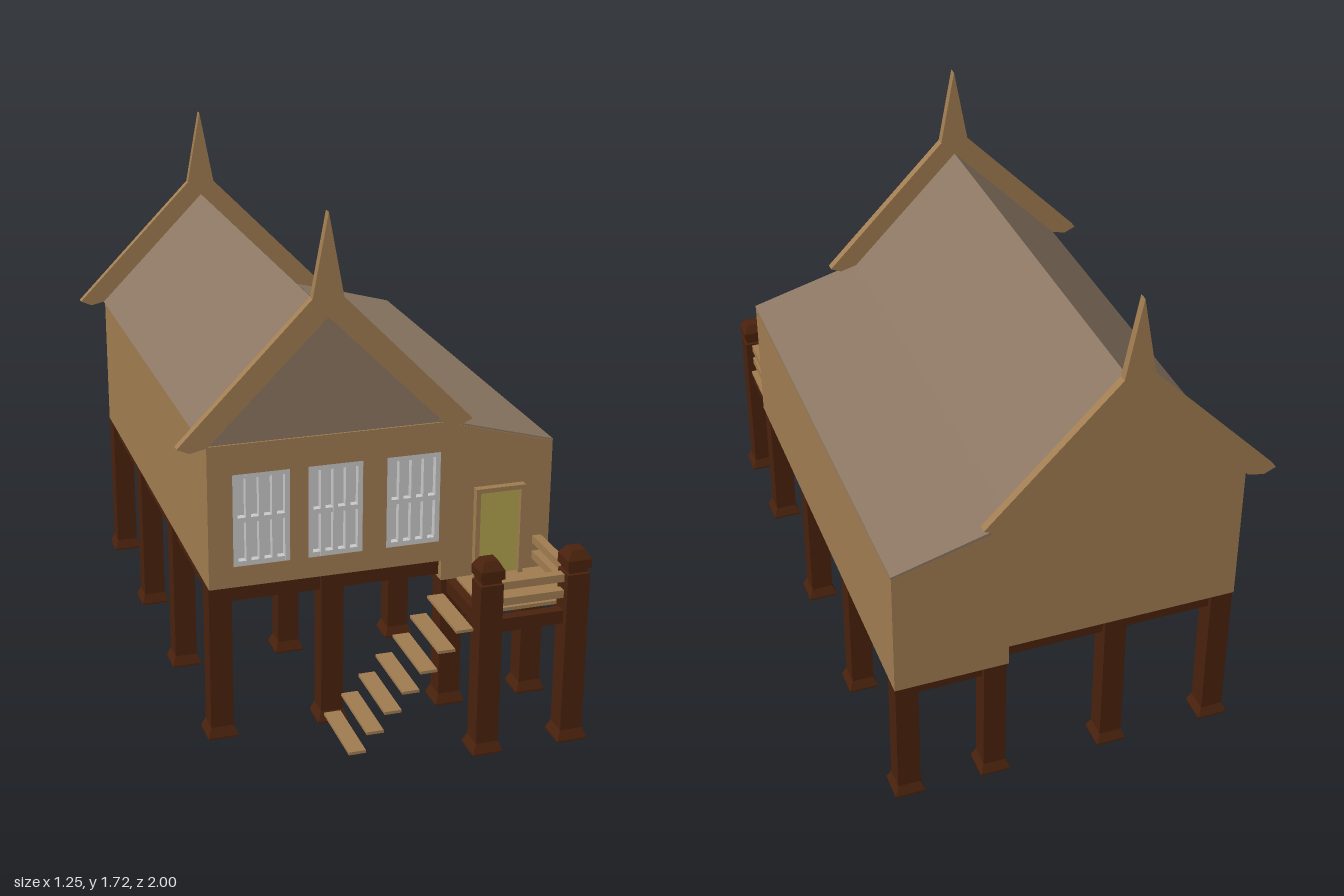
import * as THREE from 'three';

const mat = (name, color) => {
  const m = new THREE.MeshStandardMaterial({ color });
  m.name = name;
  return m;
};

export function createModel() {
  const wood = mat('tan wood', 0xa17d51);
  const roofing = mat('roof shingle', 0x8c7763);
  const timber = mat('dark timber', 0x4a220d);
  const shutter = mat('pale window', 0xc9c9c9);
  const doorPaint = mat('door yellow', 0xb3a24e);

  const model = new THREE.Group();
  const add = (parent, name, geometry, material) => {
    const mesh = new THREE.Mesh(geometry, material);
    mesh.name = name;
    parent.add(mesh);
    return mesh;
  };
  const group = (name) => {
    const g = new THREE.Group();
    g.name = name;
    model.add(g);
    return g;
  };
  // Box given by its limits on each axis
  const box = (parent, name, material, x0, x1, y0, y1, z0, z1) => {
    const g = new THREE.BoxGeometry(x1 - x0, y1 - y0, z1 - z0);
    g.translate((x0 + x1) / 2, (y0 + y1) / 2, (z0 + z1) / 2);
    return add(parent, name, g, material);
  };
  // Outline in x,y extruded from z0 to z1
  const slab = (parent, name, material, points, z0, z1, holes = []) => {
    const shape = new THREE.Shape(points.map(([x, y]) => new THREE.Vector2(x, y)));
    for (const [x0, x1, y0, y1] of holes) {
      shape.holes.push(new THREE.Path([
        new THREE.Vector2(x0, y0), new THREE.Vector2(x0, y1),
        new THREE.Vector2(x1, y1), new THREE.Vector2(x1, y0),
      ]));
    }
    const g = new THREE.ExtrudeGeometry(shape, { depth: z1 - z0, bevelEnabled: false });
    g.translate(0, 0, z0);
    return add(parent, name, g, material);
  };
  // Square post from a [half width, height] profile
  const post = (parent, name, profile, x, z) => {
    const pts = profile.map(([h, y]) => new THREE.Vector2(h * Math.SQRT2, y));
    const g = new THREE.LatheGeometry(pts, 4, Math.PI / 4).toNonIndexed();
    g.computeVertexNormals();
    add(parent, name, g, timber).position.set(x, 0, z);
  };

  const FRONT = 0.655, BACK = -0.985, RIDGE = -0.15;
  const windows = [[-0.455, -0.27], [-0.21, -0.03], [0.05, 0.23]].map(([a, b]) => [a, b, 0.6, 0.91]);

  // Walls: tall main room with a lower side room on +x
  const walls = group('walls');
  const lower = [[-0.535, 0.53], [0.24, 0.53], [0.24, 0.46], [0.615, 0.46], [0.615, 0.907], [0.24, 1.01]];
  slab(walls, 'frontWall', wood, [...lower, [-0.535, 1.01]], FRONT - 0.03, FRONT, windows);
  slab(walls, 'backWall', wood, [...lower, [RIDGE, 1.4], [-0.535, 1.01]], BACK, BACK + 0.03);
  box(walls, 'mainSideWall', wood, -0.535, -0.505, 0.53, 1.01, BACK + 0.03, FRONT - 0.03);
  box(walls, 'sideRoomWall', wood, 0.585, 0.615, 0.46, 0.907, BACK + 0.03, FRONT - 0.03);
  box(walls, 'mainFloor', wood, -0.505, 0.24, 0.53, 0.55, BACK + 0.03, FRONT - 0.03);
  box(walls, 'sideRoomFloor', wood, 0.24, 0.585, 0.46, 0.55, BACK + 0.03, FRONT - 0.03);

  // Roofs and the shingled front gable
  const roof = group('roof');
  slab(roof, 'mainRoof', roofing, [
    [-0.542, 1.01], [-0.51, 1.005], [RIDGE, 1.37], [0.21, 1.005], [0.242, 1.01], [RIDGE, 1.406],
  ], BACK + 0.004, 0.648);
  slab(roof, 'frontGable', roofing, [[-0.53, 1.01], [0.23, 1.01], [RIDGE, 1.395]], 0.62, 0.649);
  slab(roof, 'sideRoof', roofing, [
    [0.225, 1.008], [0.617, 0.905], [0.617, 0.912], [0.225, 1.02],
  ], BACK - 0.001, FRONT - 0.003);

  // Barge boards with a pointed finial
  const half = [[0.05, 1.455], [0.48, 1.018], [0.44, 1.0], [0.385, 1.012]];
  const barge = [
    [RIDGE, 1.72],
    ...half.map(([x, y]) => [RIDGE - x, y]),
    [RIDGE, 1.395],
    ...half.map(([x, y]) => [RIDGE + x, y]).reverse(),
  ];
  slab(roof, 'frontBargeBoard', wood, barge, 0.637, 0.667);
  slab(roof, 'backBargeBoard', wood, barge, -1.0, -0.972);

  // Barred windows set into the front wall
  const windowGroup = group('windows');
  for (const [x0, x1, y0, y1] of windows) {
    const w = x1 - x0, h = y1 - y0;
    box(windowGroup, 'windowPane', shutter, x0, x1, y0, y1, 0.622, 0.63);
    for (let i = 0; i <= 4; i++) {
      const x = x0 + 0.008 + (i / 4) * (w - 0.016);
      box(windowGroup, 'windowBar', shutter, x - 0.008, x + 0.008, y0, y1, 0.63, 0.654);
    }
    for (let i = 0; i <= 2; i++) {
      const y = y0 + 0.008 + (i / 2) * (h - 0.016);
      box(windowGroup, 'windowRail', shutter, x0, x1, y - 0.008, y + 0.008, 0.63, 0.653);
    }
  }

  // Door and its frame
  const door = group('door');
  box(door, 'doorPanel', doorPaint, 0.362, 0.502, 0.465, 0.76, FRONT, FRONT + 0.007);
  box(door, 'doorJamb', wood, 0.347, 0.362, 0.46, 0.775, FRONT, 0.68);
  box(door, 'doorJamb', wood, 0.502, 0.517, 0.46, 0.775, FRONT, 0.68);
  box(door, 'doorLintel', wood, 0.362, 0.502, 0.76, 0.775, FRONT, 0.68);

  // Stilts with flared feet, tied by a grid of beams
  const stilts = group('stilts');
  const columns = [[-0.498, 0.53], [-0.127, 0.53], [0.282, 0.46], [0.573, 0.46]];
  const rows = [0.61, 0.095, -0.42, -0.938];
  const foot = [[0, 0], [0.05, 0], [0.05, 0.006], [0.0375, 0.038]];
  for (const [x, top] of columns) {
    for (const z of rows) post(stilts, 'stilt', [...foot, [0.0375, top], [0, top]], x, z);
    box(stilts, 'lengthBeam', timber, x - 0.02, x + 0.02, top - 0.055, top, -0.97, 0.645);
  }
  for (const z of rows) {
    box(stilts, 'mainCrossBeam', timber, -0.498, 0.245, 0.472, 0.529, z - 0.02, z + 0.02);
    box(stilts, 'sideCrossBeam', timber, 0.282, 0.573, 0.408, 0.459, z - 0.02, z + 0.02);
  }

  // Porch with capped posts, deck and rails
  const porch = group('porch');
  const cap = [[0.0375, 0.585], [0.032, 0.588], [0.032, 0.6], [0.04, 0.603], [0.04, 0.633], [0.022, 0.663], [0, 0.663]];
  for (const x of [0.282, 0.573]) {
    post(porch, 'porchPost', [...foot, ...cap], x, 0.95);
    box(porch, 'porchBeam', timber, x - 0.018, x + 0.018, 0.41, 0.455, 0.645, 0.95);
  }
  box(porch, 'porchFrontBeam', timber, 0.282, 0.573, 0.41, 0.455, 0.93, 0.965);
  box(porch, 'porchDeck', wood, 0.295, 0.597, 0.452, 0.464, FRONT, 0.91);
  for (const y of [0.498, 0.553]) {
    box(porch, 'frontRail', wood, 0.315, 0.54, y, y + 0.026, 0.932, 0.962);
    box(porch, 'sideRail', wood, 0.558, 0.588, y, y + 0.026, FRONT, 0.915);
  }

  // Open treads climbing to the porch
  const stairs = group('stairs');
  for (let i = 0; i < 7; i++) {
    const x = -0.165 + i * 0.0582, y = 0.042 + i * 0.0622;
    box(stairs, 'tread', wood, x, x + 0.056, y, y + 0.01, 0.682, 0.945);
  }

  return model;
}
